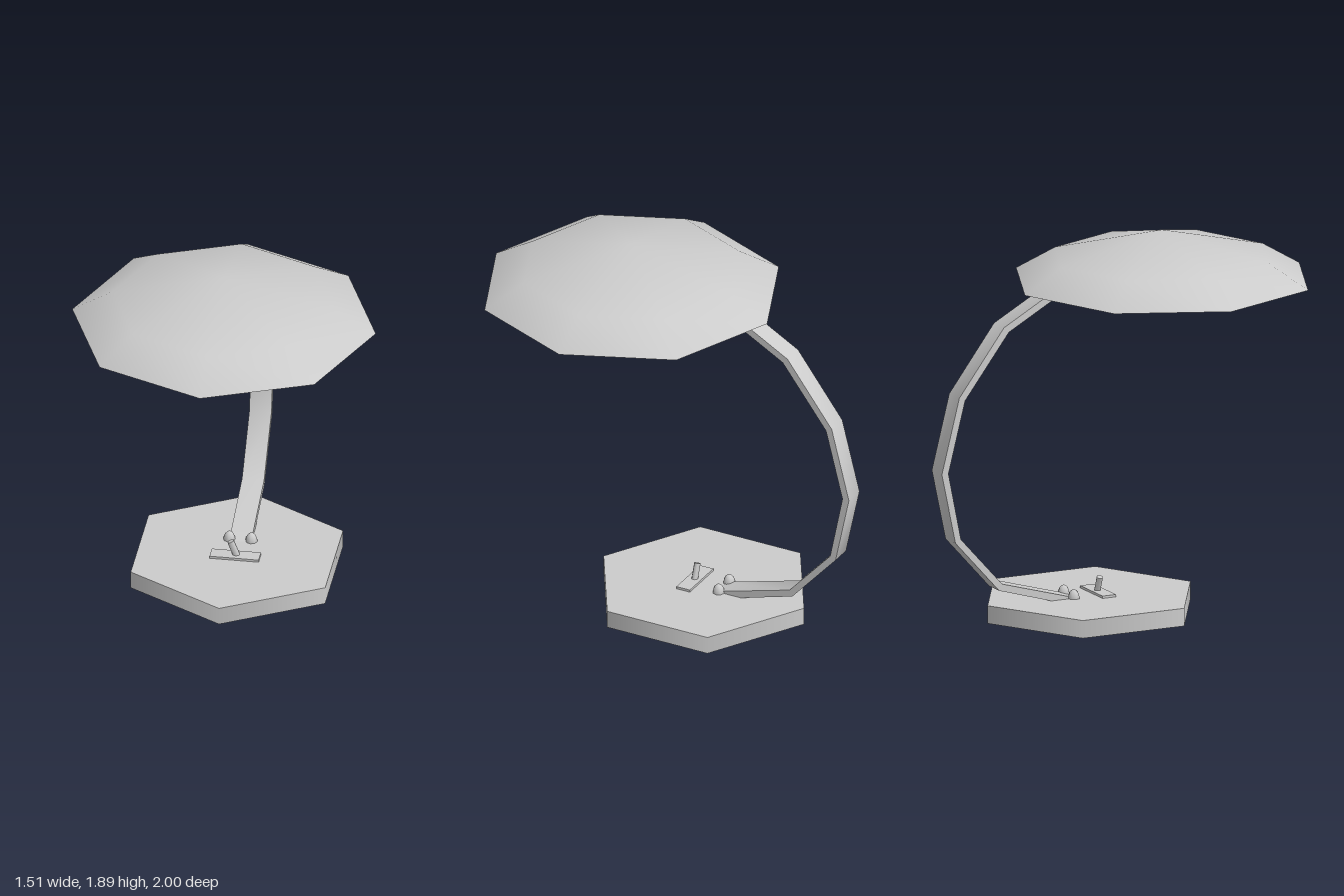
import * as THREE from 'three';
import { mergeVertices, toCreasedNormals } from 'three/addons/utils/BufferGeometryUtils.js';

const material = new THREE.MeshStandardMaterial({ color: 0xcccccc, side: THREE.DoubleSide });

function part(parent, name, geometry, x = 0, y = 0, z = 0) {
  const mesh = new THREE.Mesh(geometry, material);
  mesh.name = name;
  mesh.position.set(x, y, z);
  parent.add(mesh);
  return mesh;
}

// Turned surface with normals blended over seam and tip
function turned(profile, sides) {
  const g = new THREE.LatheGeometry(profile.map(p => new THREE.Vector2(...p)), sides);
  g.deleteAttribute('uv');
  g.deleteAttribute('normal');
  const merged = mergeVertices(g, 1e-4);
  merged.computeVertexNormals();
  return merged;
}

// Hollow hexagonal foot, open underneath
function addBase(lamp) {
  const base = new THREE.Group();
  base.name = 'base';
  base.position.z = -0.16;
  part(base, 'baseWall', new THREE.CylinderGeometry(0.56, 0.56, 0.09, 6, 1, true), 0, 0.045);
  const top = new THREE.CircleGeometry(0.56, 6, Math.PI / 2).rotateX(-Math.PI / 2);
  part(base, 'baseTop', top, 0, 0.09);
  lamp.add(base);
}

// Toggle switch: open-bottomed plate and leaning lever
function addSwitch(lamp) {
  const plate = new THREE.BoxGeometry(0.245, 0.034, 0.075);
  const index = Array.from(plate.index.array);
  index.splice(18, 6); // drop the bottom face
  plate.setIndex(index);
  plate.clearGroups();
  part(lamp, 'switchPlate', plate, 0, 0.085, -0.11);
  const lever = new THREE.CylinderGeometry(0.0175, 0.0175, 0.085, 6);
  part(lamp, 'switchLever', lever, -0.008, 0.134, -0.112).rotation.z = 0.36;
}

// Curved flat strip, drawn from the side and given its width
function addArm(lamp) {
  const outer = [[-0.245, 0.046], [-0.684, 0.174], [-0.925, 0.441], [-1, 0.797],
    [-0.904, 1.174], [-0.657, 1.505], [-0.16, 1.782]];
  const inner = [[-0.236, 0.084], [-0.668, 0.206], [-0.895, 0.457], [-0.964, 0.797],
    [-0.872, 1.158], [-0.63, 1.479], [-0.142, 1.751]];
  const outline = [...outer, ...inner.reverse()].map(p => new THREE.Vector2(...p));
  const strip = new THREE.ExtrudeGeometry(new THREE.Shape(outline), { depth: 0.11, bevelEnabled: false });
  strip.rotateY(-Math.PI / 2).translate(0.055, 0, 0);
  part(lamp, 'arm', toCreasedNormals(strip, 0.9));
}

// Eight-sided shade with outer skin, flat lip and inner skin
function addShade(lamp) {
  const shade = new THREE.Group();
  shade.name = 'shade';
  shade.position.z = 0.243;
  part(shade, 'shadeOuter', turned([[0.757, 1.64], [0.555, 1.76], [0, 1.89]], 8));
  part(shade, 'shadeLip', turned([[0.722, 1.64], [0.757, 1.64]], 8));
  part(shade, 'shadeInner', turned([[0, 1.857], [0.54, 1.732], [0.722, 1.64]], 8));
  lamp.add(shade);
}

export function createModel() {
  const lamp = new THREE.Group();
  lamp.name = 'deskLamp';
  addBase(lamp);
  addSwitch(lamp);
  addArm(lamp);
  addShade(lamp);

  // Domed knobs either side of the arm foot
  for (const side of [-1, 1]) {
    const dome = new THREE.SphereGeometry(0.03, 8, 4, 0, Math.PI * 2, 0, Math.PI / 2);
    dome.scale(1, 1.5, 1);
    part(lamp, side > 0 ? 'leftKnob' : 'rightKnob', dome, side * 0.055, 0.09, -0.272);
  }
  return lamp;
}
